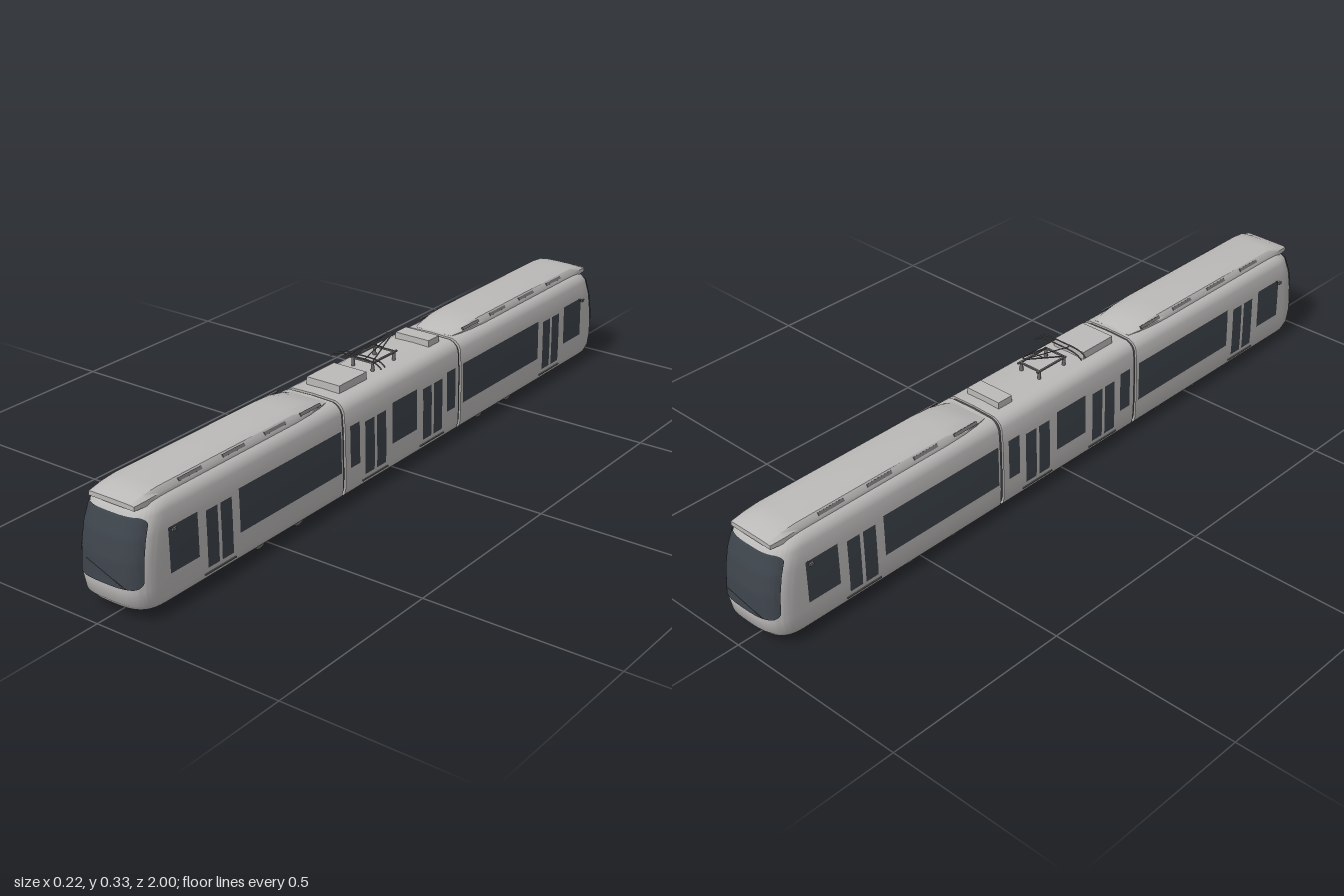
import * as THREE from 'three';
import { toCreasedNormals } from 'three/addons/utils/BufferGeometryUtils.js';

const mat = (name, color, side = THREE.FrontSide) => {
  const m = new THREE.MeshStandardMaterial({ color, side });
  m.name = name;
  return m;
};

// body profile: height, half width, nose position
const PROFILE = [
  [0.025, 0, 0.87], [0.025, 0.087, 0.935], [0.03, 0.092, 0.952], [0.045, 0.0955, 0.965],
  [0.08, 0.0965, 0.972], [0.15, 0.096, 0.967], [0.2, 0.095, 0.957], [0.245, 0.092, 0.94],
  [0.257, 0.087, 0.93], [0.266, 0.078, 0.915], [0.271, 0.066, 0.895], [0.273, 0, 0.87],
];
const NOSE_DEPTH = 0.08, NOSE_POWER = 3.2;

// half width and nose position at a given height
function section(y) {
  let i = 1;
  while (i < PROFILE.length - 2 && PROFILE[i + 1][0] < y) i++;
  const [a, b] = [PROFILE[i], PROFILE[i + 1]];
  const t = (y - a[0]) / (b[0] - a[0]);
  return [a[1] + (b[1] - a[1]) * t, a[2] + (b[2] - a[2]) * t];
}

// surface through rows of points
function skin(rows, closed) {
  const n = rows[0].length, index = [];
  for (let i = 0; i < rows.length - 1; i++) {
    for (let j = 0; j < (closed ? n : n - 1); j++) {
      const a = i * n + j, b = i * n + (j + 1) % n;
      index.push(a, a + n, b, b, a + n, b + n);
    }
  }
  const g = new THREE.BufferGeometry();
  g.setAttribute('position', new THREE.Float32BufferAttribute(rows.flat(2), 3));
  g.setIndex(index);
  return toCreasedNormals(g, 0.7);
}

export function createModel() {
  const paint = mat('body paint', 0xbcbab9);
  const glass = mat('dark glass', 0x3d444b, THREE.DoubleSide);
  const metal = mat('grey metal', 0x6c6c6c, THREE.DoubleSide);
  const rubber = mat('dark rubber', 0x4c4c4c);
  const model = new THREE.Group();
  model.name = 'tram';

  const add = (parent, name, geometry, material, x = 0, y = 0, z = 0) => {
    const m = new THREE.Mesh(geometry, material);
    m.name = name;
    m.position.set(x, y, z);
    parent.add(m);
    return m;
  };
  const box = (parent, name, material, size, pos) =>
    add(parent, name, new THREE.BoxGeometry(...size), material, ...pos);
  const rod = (parent, name, points, r, material = metal) => {
    const curve = new THREE.CatmullRomCurve3(points.map((p) => new THREE.Vector3(...p)));
    return add(parent, name, new THREE.TubeGeometry(curve, points.length > 2 ? 20 : 1, r, 6), material);
  };

  // straight body piece between two z positions
  const straight = (z0, z1, inset) => skin(PROFILE.map(([y, w]) => {
    const x = Math.max(0, w - inset), h = 0.148 + (y - 0.148) * (1 - inset * 8);
    return [[x, h, z0], [x, h, z1], [-x, h, z1], [-x, h, z0]];
  }), true);

  // plate following the side wall
  const sidePlate = (parent, name, material, side, z0, z1, y0, y1, off = 0.0015) => {
    const rows = [];
    for (let i = 0; i <= 8; i++) {
      const y = y0 + (y1 - y0) * i / 8, x = side * (section(y)[0] + off);
      rows.push(side > 0 ? [[x, y, z0], [x, y, z1]] : [[x, y, z1], [x, y, z0]]);
    }
    add(parent, name, skin(rows, false), material);
  };
  const sideWindow = (parent, z0, z1) => {
    for (const s of [1, -1]) sidePlate(parent, 'sideWindow', glass, s, z0, z1, 0.095, 0.205);
  };
  const door = (parent, z) => {
    for (const s of [1, -1]) {
      for (const d of [-0.024, 0.024]) {
        sidePlate(parent, 'doorWindow', glass, s, z + d - 0.019, z + d + 0.019, 0.055, 0.196);
      }
      box(parent, 'doorSill', metal, [0.004, 0.003, 0.105], [s * 0.0955, 0.041, z]);
    }
  };

  function endCar(name) {
    const car = new THREE.Group();
    car.name = name;

    // shell with a rounded nose
    const shell = PROFILE.map(([y, w, zf]) => {
      const ring = [[w, y, 0.254]];
      for (let i = 0; i <= 40; i++) {
        const a = Math.PI * i / 40, c = Math.cos(a), e = 2 / NOSE_POWER;
        ring.push([w * Math.sign(c) * Math.abs(c) ** e, y,
          zf - NOSE_DEPTH + NOSE_DEPTH * Math.abs(Math.sin(a)) ** e]);
      }
      ring.push([-w, y, 0.254]);
      return ring;
    });
    add(car, 'endBody', skin(shell, true), paint);

    // windshield wrapped on the nose, with rounded corners
    const rows = [], y0 = 0.088, y1 = 0.246, r = 0.016;
    for (let i = 0; i <= 32; i++) {
      const y = (y0 + y1) / 2 - (y1 - y0) / 2 * Math.cos(Math.PI * i / 32);
      const [w, zf] = section(y), k = Math.max(0, r - Math.min(y - y0, y1 - y));
      const half = w - 0.0055 - r + Math.sqrt(Math.max(0, r * r - k * k));
      const row = [];
      for (let j = 0; j <= 32; j++) {
        const x = half * Math.sin(Math.PI * (0.5 - j / 32));
        const bulge = (1 - Math.abs(x / (w + 0.002)) ** NOSE_POWER) ** (1 / NOSE_POWER);
        row.push([x, y, zf + 0.002 - NOSE_DEPTH + NOSE_DEPTH * bulge]);
      }
      rows.push(row);
    }
    add(car, 'windshield', skin(rows, false), glass);
    rod(car, 'wiper', [[-0.02, 0.155, 0.999], [0.06, 0.09, 0.97]], 0.001);

    // roof fairing
    const hump = [[0.265, 0, 0], [0.265, 0.056, 0], [0.3, 0.064, 0.011], [0.34, 0.068, 0.02],
      [0.4, 0.07, 0.022], [0.86, 0.07, 0.022], [0.9, 0.07, 0.017], [0.935, 0.066, 0.002], [0.935, 0, 0.002]];
    add(car, 'roofFairing', skin(hump.map(([z, w, h]) => {
      const half = [[1, -0.01], [1, h * 0.2], [0.86, h * 0.75], [0.5, h * 0.96]];
      return [...half.map(([k, y]) => [-w * k, 0.272 + y, z]), [0, 0.272 + h, z],
        ...half.reverse().map(([k, y]) => [w * k, 0.272 + y, z])];
    }), true), paint);

    for (const s of [1, -1]) {
      // roof vents
      for (const z of [0.76, 0.615, 0.47, 0.34]) {
        box(car, 'roofVent', metal, [0.004, 0.008, 0.075], [s * 0.0655, 0.282, z]).rotation.z = s * 0.65;
      }
      // mirrors and head lamps
      rod(car, 'mirrorArm', [[s * 0.09, 0.203, 0.86], [s * 0.106, 0.203, 0.86]], 0.0012);
      box(car, 'mirror', metal, [0.005, 0.007, 0.012], [s * 0.107, 0.203, 0.86]);
      const lamp = add(car, 'headLamp', new THREE.CylinderGeometry(0.004, 0.004, 0.003, 16), paint,
        s * 0.055, 0.07, 0.958);
      lamp.rotation.x = Math.PI / 2;

      // wheels and track brakes
      for (const z of [0.39, 0.535]) {
        const wheel = add(car, 'wheel', new THREE.CylinderGeometry(0.023, 0.025, 0.009, 24), metal, s * 0.062, 0.025, z);
        wheel.rotation.z = s * Math.PI / 2;
        box(car, 'axleBox', metal, [0.014, 0.008, 0.02], [s * 0.05, 0.023, z]);
      }
      box(car, 'trackBrake', metal, [0.004, 0.014, 0.05], [s * 0.039, 0.019, 0.4625]);
    }
    box(car, 'bogieBeam', metal, [0.06, 0.01, 0.03], [0, 0.022, 0.4625]);

    sideWindow(car, 0.775, 0.868);
    sideWindow(car, 0.262, 0.637);
    door(car, 0.705);

    // gangway bellows
    add(car, 'gangwayBellows', straight(0.238, 0.26, 0.005), rubber);
    return car;
  }
  const rear = endCar('rearCar');
  rear.rotation.y = Math.PI;
  model.add(endCar('frontCar'), rear);

  // middle car
  const mid = new THREE.Group();
  mid.name = 'middleCar';
  model.add(mid);
  add(mid, 'middleBody', straight(-0.244, 0.244, 0), paint);
  sideWindow(mid, -0.053, 0.053);
  for (const s of [1, -1]) {
    sideWindow(mid, s > 0 ? 0.188 : -0.226, s > 0 ? 0.226 : -0.188);
    door(mid, s * 0.123);
  }
  box(mid, 'largeRoofBox', paint, [0.1, 0.02, 0.11], [0, 0.282, 0.152]);
  box(mid, 'smallRoofBox', paint, [0.104, 0.018, 0.046], [0, 0.28, -0.19]);

  // pantograph
  const panto = new THREE.Group();
  panto.name = 'pantograph';
  mid.add(panto);
  for (const s of [1, -1]) {
    for (const z of [-0.045, 0.045]) {
      add(panto, 'insulator', new THREE.CylinderGeometry(0.004, 0.005, 0.022, 10), metal, s * 0.03, 0.282, z);
    }
    box(panto, 'baseRail', metal, [0.005, 0.004, 0.105], [s * 0.032, 0.294, -0.003]);
    box(panto, 'baseCrossbar', metal, [0.068, 0.004, 0.005], [0, 0.294, s * 0.047]);
    rod(panto, 'lowerArm', [[s * 0.03, 0.296, 0.045], [s * 0.007, 0.328, -0.068]], 0.0018);
    rod(panto, 'upperArm', [[s * 0.005, 0.328, -0.068], [s * 0.024, 0.311, 0.066]], 0.0014);
    rod(panto, 'collectorBow', [[-0.078, 0.297, 0], [-0.066, 0.306, 0], [-0.045, 0.311, 0], [0, 0.312, 0],
      [0.045, 0.311, 0], [0.066, 0.306, 0], [0.078, 0.297, 0]], 0.0018).position.z = 0.066 + s * 0.008;
    rod(panto, 'headLink', [[s * 0.024, 0.311, 0.056], [s * 0.024, 0.311, 0.076]], 0.0014);
  }
  rod(panto, 'knee', [[-0.009, 0.328, -0.068], [0.009, 0.328, -0.068]], 0.002);
  rod(panto, 'armBrace', [[-0.018, 0.313, -0.015], [0.018, 0.313, -0.015]], 0.0014);

  return model;
}
